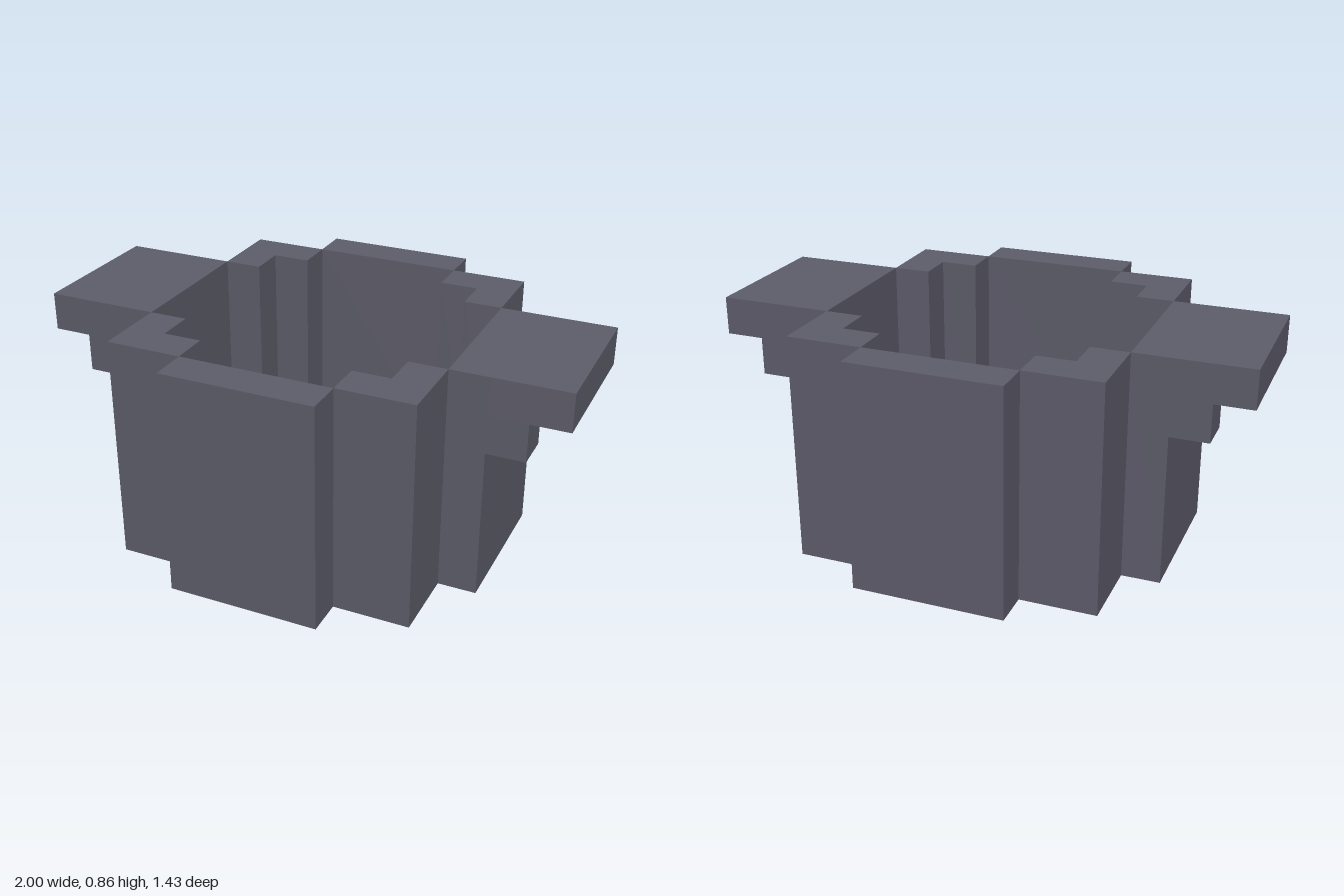
import * as THREE from 'three';

const U = 1 / 7; // one block

// Stepped cross outline, symmetric in both axes; corners of one quadrant in blocks
function steppedOutline(quadrant) {
  const back = [...quadrant].reverse();
  return [
    ...quadrant,
    ...back.map(([x, z]) => [-x, z]),
    ...quadrant.map(([x, z]) => [-x, -z]),
    ...back.map(([x, z]) => [x, -z]),
  ].map(([x, z]) => new THREE.Vector2(x * U, z * U));
}

// Extrude a plan upwards from y = 0
function extrudeUp(shape, height) {
  const geometry = new THREE.ExtrudeGeometry(shape, { depth: height * U, bevelEnabled: false });
  return geometry.rotateX(-Math.PI / 2);
}

export function createModel() {
  const group = new THREE.Group();
  group.name = 'cauldron';
  const iron = new THREE.MeshStandardMaterial({ color: 0x5e5d6b });
  iron.name = 'dark iron';

  const add = (name, geometry, parent = group) => {
    const mesh = new THREE.Mesh(geometry, iron);
    mesh.name = name;
    parent.add(mesh);
    return mesh;
  };
  const box = (name, parent, size, centre) =>
    add(name, new THREE.BoxGeometry(...size.map((v) => v * U)), parent)
      .position.set(...centre.map((v) => v * U));

  // Pot wall, open at the top
  const outer = steppedOutline([[5, 2], [4, 2], [4, 4], [2, 4], [2, 5]]);
  const inner = steppedOutline([[4, 2], [3, 2], [3, 3], [2, 3], [2, 4]]);
  const wall = new THREE.Shape(outer);
  wall.holes.push(new THREE.Path(inner));
  add('wall', extrudeUp(wall, 6));

  // Floor closing the bottom
  add('floor', extrudeUp(new THREE.Shape(inner), 1));

  // Handles: a slab level with the rim on two small brackets
  for (const [side, label] of [[1, 'left'], [-1, 'right']]) {
    const handle = new THREE.Group();
    handle.name = `${label}Handle`;
    group.add(handle);
    box('slab', handle, [2, 1, 4], [side * 6, 5.5, 0]);
    for (const z of [-1.5, 1.5]) box('bracket', handle, [1, 1, 1], [side * 5.5, 4.5, z]);
  }
  return group;
}
